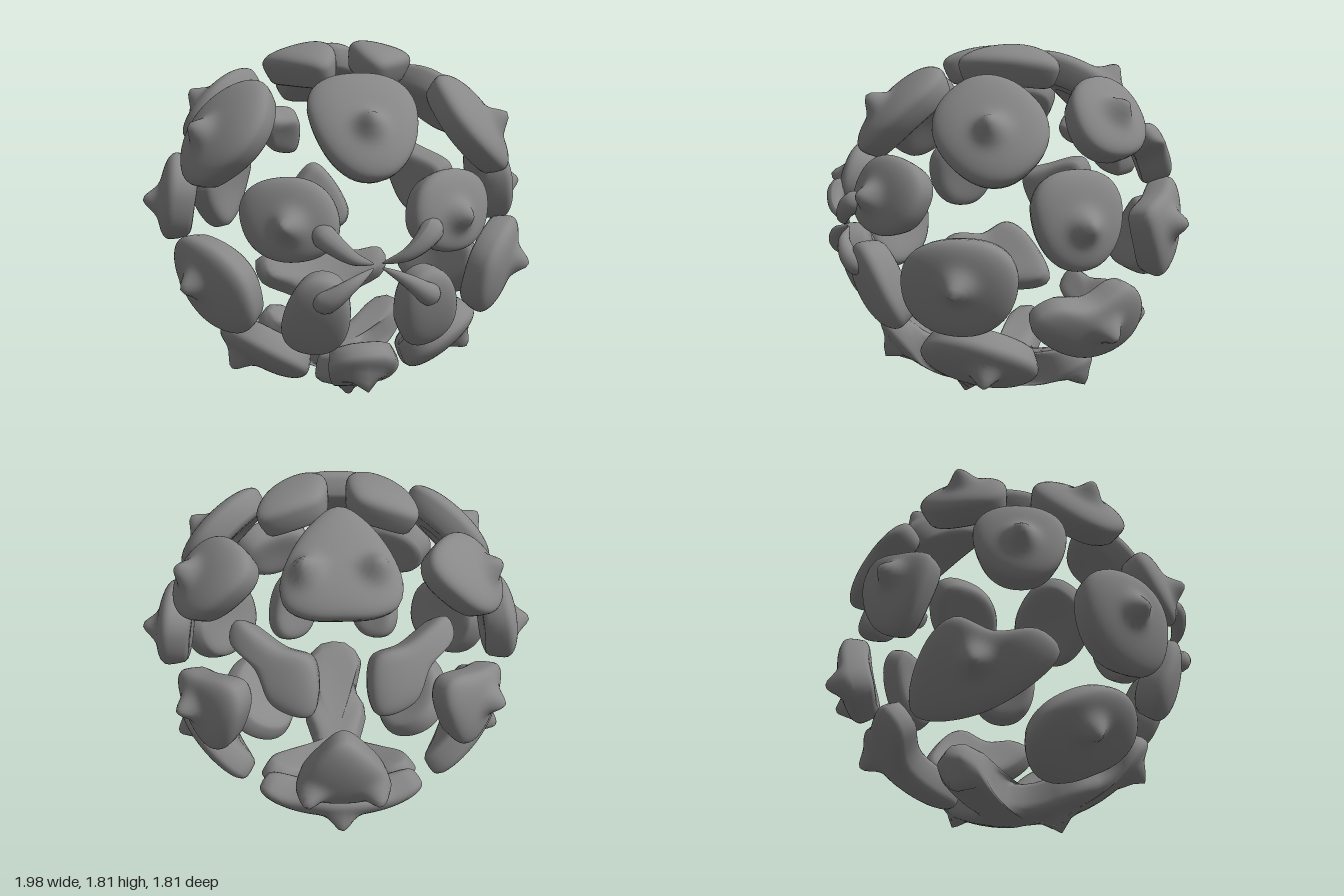
import * as THREE from 'three';

const CY = 0.9;        // height of the sphere's middle
const R = 0.805;       // mid radius of the shell
const WIDE = 0.84;     // mid radius of the plates that stand out at the sides
const HALF = 0.085;    // half plate thickness
const SPIKE = 0.075;   // spike height
const material = new THREE.MeshStandardMaterial({ color: 0x888888 });

// Lift a 2D point onto a sphere; the axis names the solved coordinate.
// Pairs are [z, y] for x, [x, y] for z and [x, z] for y.
function onShell([a, b], axis, radius) {
  const v = axis[0] === 'y' ? b : b - CY;
  const c = Math.sqrt(Math.max(radius * radius - a * a - v * v, 0.02)) * (axis[1] === '-' ? -1 : 1);
  const p = axis[0] === 'x' ? [c, v, a] : axis[0] === 'z' ? [a, v, c] : [a, c, v];
  return new THREE.Vector3(...p).setLength(R);
}

// Plump oval outline, tilted, and wider towards +b when taper is positive.
function oval(a, b, ra, rb, tilt = 0, taper = 0) {
  const plump = t => Math.sign(t) * Math.abs(t) ** 0.88;
  const c = Math.cos(tilt), s = Math.sin(tilt);
  return Array.from({ length: 16 }, (_, i) => {
    const w = plump(Math.sin(i * Math.PI / 8));
    const u = ra * plump(Math.cos(i * Math.PI / 8)) * (1 + taper * w), v = rb * w;
    return [a + u * c - v * s, b + u * s + v * c];
  });
}

// Rounded slab following the sphere, with pointed bumps on its outer face.
function plateGeometry(outline, tips, radius) {
  const SEG = 48, OUT = 18, INN = 8, P = 4;
  const ring = new THREE.CatmullRomCurve3(outline, true).getSpacedPoints(SEG).slice(0, SEG);
  const mid = ring.reduce((sum, p) => sum.add(p), new THREE.Vector3()).setLength(R);
  const turn = new THREE.Vector3();
  ring.forEach((p, i) => turn.add(p.clone().sub(mid).cross(ring[(i + 1) % SEG].clone().sub(mid))));
  if (turn.dot(mid) < 0) ring.reverse();

  const pos = [], idx = [];
  const put = (p, offset, outer) => {
    const dir = p.clone().setLength(R);
    const bump = outer ? Math.max(0, ...tips.map(t => Math.exp(-dir.distanceToSquared(t) / 0.0024))) : 0;
    dir.setLength(radius + offset + SPIKE * bump);
    pos.push(dir.x, dir.y + CY, dir.z);
  };
  const level = (t, sign) => {
    const s = Math.sin(t * Math.PI / 2);
    const offset = sign * HALF * Math.max(1 - s ** P, 0) ** (1 / P);
    for (const p of ring) put(mid.clone().lerp(p, s), offset, sign > 0 && t < 1);
  };
  put(mid, HALF, true);
  for (let i = 1; i <= OUT; i++) level(i / OUT, 1);
  for (let i = INN - 1; i >= 1; i--) level(i / INN, -1);
  put(mid, -HALF, false);

  const rows = OUT + INN - 1, last = 1 + rows * SEG, edge = last - SEG;
  for (let j = 0; j < SEG; j++) {
    const k = (j + 1) % SEG;
    idx.push(0, 1 + j, 1 + k, edge + j, last, edge + k);
    for (let a = 1; a < edge; a += SEG) {
      const b = a + SEG;
      idx.push(a + j, b + j, b + k, a + j, b + k, a + k);
    }
  }
  const g = new THREE.BufferGeometry();
  g.setAttribute('position', new THREE.Float32BufferAttribute(pos, 3));
  g.setIndex(idx);
  g.computeVertexNormals();
  return g;
}

// Curved horn: rounded thick root tapering to a point.
function toothGeometry(curve) {
  const N = 24, M = 14;
  const g = new THREE.TubeGeometry(curve, N, 1, M);
  const p = g.attributes.position, v = new THREE.Vector3();
  for (let n = 0; n < p.count; n++) {
    const t = Math.floor(n / (M + 1)) / N, c = curve.getPointAt(t);
    const r = 0.06 * Math.min(1, Math.sqrt(t * 5)) * (1 - t) ** 0.8 + 0.003;
    v.fromBufferAttribute(p, n).sub(c).multiplyScalar(r).add(c);
    p.setXYZ(n, v.x, v.y, v.z);
  }
  g.computeVertexNormals();
  return g;
}

const flip = pts => pts.map(p => new THREE.Vector3(-p.x, p.y, p.z));
const mirrorHalf = half => [...half, ...half.map(([a, b]) => [-a, b]).reverse()];

export function createModel() {
  const model = new THREE.Group();
  const add = (name, geometry) => {
    const mesh = new THREE.Mesh(geometry, material);
    mesh.name = name;
    model.add(mesh);
  };
  const tipsOf = (spikes, axis, radius) => spikes.map(p => onShell(p, axis, radius + HALF + SPIKE));
  // One plate on each side
  const pair = (name, axis, radius, outline, ...spikes) => {
    const edge = outline.map(p => onShell(p, axis, radius));
    const tips = tipsOf(spikes, axis, radius);
    add(`${name} left`, plateGeometry(edge, tips, radius));
    add(`${name} right`, plateGeometry(flip(edge), flip(tips), radius));
  };
  // One plate across the middle, spikes mirrored
  const central = (name, axis, outline, ...spikes) => {
    const tips = tipsOf(spikes, axis, R);
    add(name, plateGeometry(outline.map(p => onShell(p, axis, R)), [...tips, ...flip(tips)], R));
  };

  // Front and side plates
  pair('upperFrontPlate', 'x+', WIDE, oval(0.29, 1.385, 0.23, 0.185, -0.67), [0.36, 1.46]);
  pair('upperJawPlate', 'z+', R, oval(0.34, 1.1, 0.19, 0.165, -0.2), [0.4, 1.12]);
  pair('lowerJawPlate', 'z+', R, oval(0.24, 0.68, 0.135, 0.2, 0.12, -0.1));
  pair('cheekPlate', 'x+', WIDE, oval(0.455, 0.75, 0.205, 0.215, 0, 0.1), [0.55, 0.76]);
  pair('sidePlate', 'x+', WIDE, oval(0, 1.03, 0.195, 0.205, 0, 0.15), [0, 1.03]);
  pair('lowerFrontPlate', 'x+', R, oval(0.29, 0.33, 0.265, 0.125, 0.42), [0.35, 0.24]);
  pair('lowerSidePlate', 'x+', R,
    [[0.17, 0.58], [0.08, 0.66], [-0.1, 0.65], [-0.26, 0.72], [-0.37, 0.65], [-0.43, 0.4], [-0.15, 0.36]], [-0.2, 0.48]);

  // Top and rear plates
  pair('crownPlate', 'y+', R, [[0.08, -0.09], [0.34, -0.12], [0.34, 0.02], [0.23, 0.22], [0.12, 0.29], [0.05, 0.18]]);
  pair('upperRearPlate', 'x+', WIDE, oval(-0.245, 1.425, 0.2, 0.16), [-0.28, 1.52]);
  pair('backUpperPlate', 'z-', R,
    [[0.12, 1.3], [0.25, 1.33], [0.43, 1.37], [0.46, 1.3], [0.35, 1.23], [0.28, 1.1], [0.13, 1.08]]);
  pair('backSidePlate', 'x+', R,
    [[-0.36, 1.01], [-0.5, 1.09], [-0.63, 1.13], [-0.67, 1.04], [-0.6, 0.76], [-0.49, 0.7]], [-0.61, 0.96]);

  // Central plates
  central('browPlate', 'z+', oval(0, 1.44, 0.225, 0.185, 0, 0.25), [0, 1.54]);
  central('topRearPlate', 'y+', oval(0, -0.37, 0.215, 0.235, 0, -0.6), [0.16, -0.54]);
  central('backPlate', 'z-', oval(0, 0.76, 0.18, 0.21, 0, -0.55), [0.17, 0.63]);
  central('lowerBackPlate', 'z-',
    mirrorHalf([[0.08, 0.46], [0.22, 0.44], [0.38, 0.47], [0.37, 0.37], [0.18, 0.26], [0.06, 0.14]]), [0, 0.27]);

  // Y-shaped bottom: front stem and two rear lobes
  central('bottomPlate', 'y-',
    mirrorHalf([[0.08, 0.65], [0.165, 0.57], [0.12, 0.45], [0.18, 0.31], [0.13, 0.1], [0.15, -0.02],
      [0.38, -0.15], [0.4, -0.27], [0.29, -0.33], [0.16, -0.25], [0.04, -0.16]]),
    [0, 0.68], [0, 0.25], [0.38, -0.28]);

  // Four teeth meeting at the middle of the mouth
  for (const [row, up] of [['upper', 1], ['lower', -1]]) {
    for (const [side, s] of [['left', 1], ['right', -1]]) {
      const path = [[0.26, 0.17, 0.78], [0.21, 0.13, 0.85], [0.12, 0.06, 0.87], [0.02, 0.01, 0.83]];
      const points = path.map(([x, y, z]) => new THREE.Vector3(x * s, 0.92 + y * up, z));
      add(`${row}Tooth ${side}`, toothGeometry(new THREE.CatmullRomCurve3(points)));
    }
  }
  return model;
}
